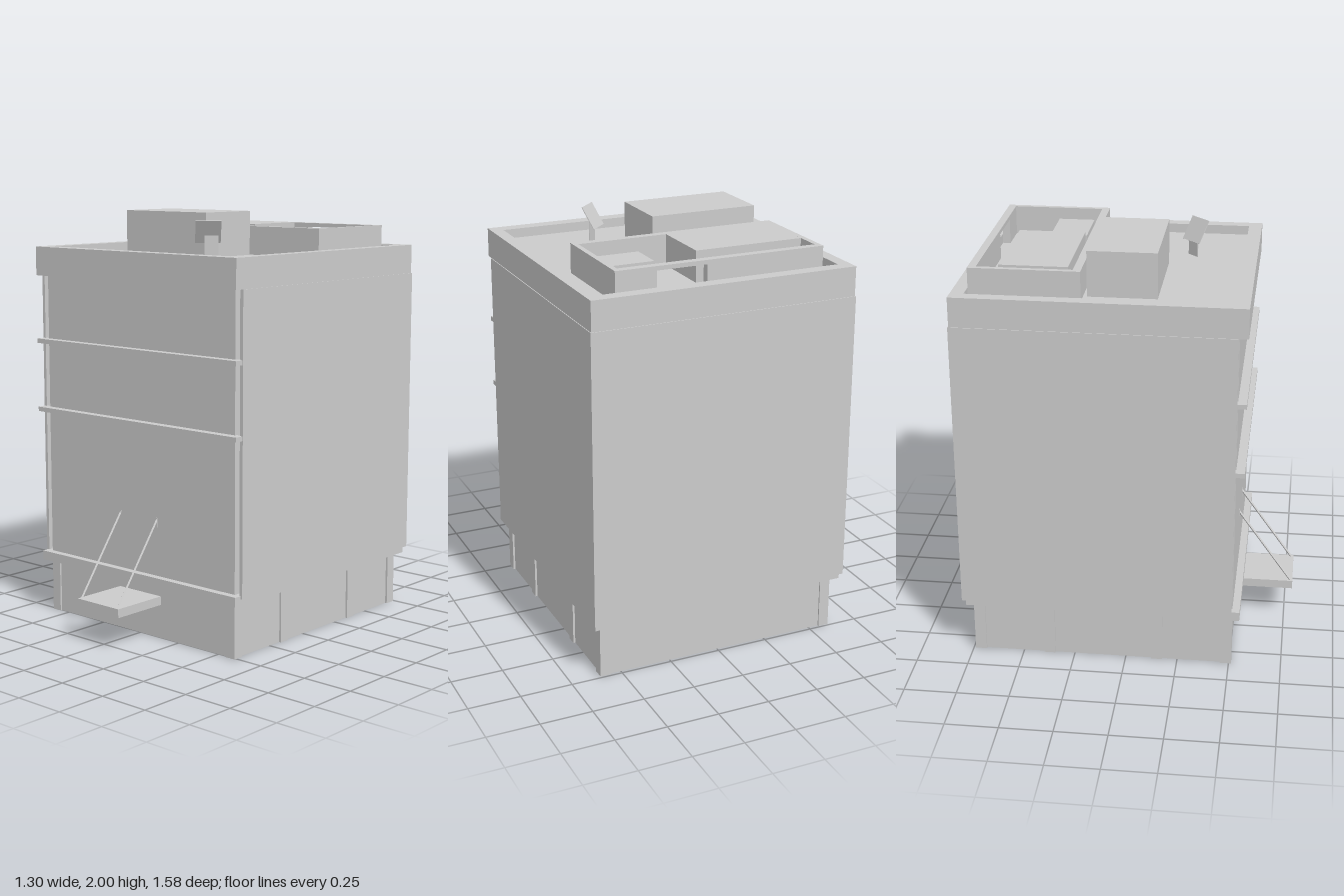
import * as THREE from 'three';

const mat = new THREE.MeshStandardMaterial({ color: 0xcccccc, flatShading: true });

export function createModel() {
  const root = new THREE.Group();

  const add = (name, geometry, parent = root) => {
    const mesh = new THREE.Mesh(geometry, mat);
    mesh.name = name;
    parent.add(mesh);
    return mesh;
  };

  // Box given by its limits on each axis
  const box = (name, x0, x1, y0, y1, z0, z1, parent) => {
    const mesh = add(name, new THREE.BoxGeometry(x1 - x0, y1 - y0, z1 - z0), parent);
    mesh.position.set((x0 + x1) / 2, (y0 + y1) / 2, (z0 + z1) / 2);
    return mesh;
  };

  // Rectangular ring: outer and inner are [x0, x1, z0, z1]
  const rect = (path, [x0, x1, z0, z1]) =>
    path.moveTo(x0, -z1).lineTo(x1, -z1).lineTo(x1, -z0).lineTo(x0, -z0).closePath();
  const ring = (name, outer, inner, y0, y1) => {
    const shape = rect(new THREE.Shape(), outer);
    shape.holes.push(rect(new THREE.Path(), inner));
    const geometry = new THREE.ExtrudeGeometry(shape, { depth: y1 - y0, bevelEnabled: false });
    geometry.rotateX(-Math.PI / 2).translate(0, y0, 0);
    return add(name, geometry);
  };

  // Open plinth with pillars along both sides
  ring('plinthWalls', [-0.595, 0.595, -0.733, 0.503], [-0.575, 0.575, -0.713, 0.483], 0, 0.27);
  for (const s of [-1, 1]) {
    for (const z of [0.485, 0.15, -0.372, -0.713]) {
      const pillar = box('plinthPillar', -0.026, 0.026, 0, 0.27, z - 0.027, z + 0.027);
      pillar.position.x = s * 0.579;
    }
  }
  ring('plinthLedge', [-0.638, 0.638, -0.77, 0.547], [-0.585, 0.585, -0.725, 0.475], 0.26, 0.305);

  // Hollow main body
  for (const s of [-1, 1]) {
    const wall = box('sideWall', -0.008, 0.008, 0.29, 1.69, -0.787, 0.51);
    wall.position.x = s * 0.64;
  }
  box('backWall', -0.648, 0.648, 0.29, 1.69, -0.788, -0.765);
  box('frontWall', -0.605, 0.605, 0.29, 1.7, 0.475, 0.512);
  box('frontRecess', -0.635, 0.635, 0.29, 1.7, 0.46, 0.48);
  for (const y of [1.017, 1.357]) box('frontBelt', -0.645, 0.645, y, y + 0.022, 0.5, 0.553);

  // Parapet and roof
  ring('parapet', [-0.644, 0.644, -0.784, 0.553], [-0.585, 0.585, -0.721, 0.488], 1.69, 1.83);
  box('roof', -0.6, 0.6, 1.76, 1.785, -0.74, 0.5);
  box('roofHouse', -0.435, 0.093, 1.78, 2, -0.19, 0.131);

  // Walled roof enclosure, with an opening in its back wall
  const wallTop = 1.925;
  for (const s of [-1, 1]) {
    const wall = box('enclosureSide', -0.0125, 0.0125, 1.78, wallTop, -0.72, -0.208);
    wall.position.x = s * 0.494;
  }
  box('enclosureFront', -0.482, 0.482, 1.78, wallTop, -0.245, -0.208);
  box('enclosureBack', -0.482, 0.07, 1.78, wallTop, -0.72, -0.683);
  box('enclosureBack', 0.31, 0.482, 1.78, wallTop, -0.72, -0.683);
  box('enclosureLintel', 0.07, 0.31, 1.905, wallTop, -0.72, -0.683);
  box('largeRoofUnit', -0.468, 0.06, 1.78, 1.932, -0.585, -0.268);
  box('smallRoofUnit', 0.205, 0.473, 1.78, 1.87, -0.46, -0.283);

  // Thin tilted panel on a flat post
  const panel = new THREE.Group();
  panel.name = 'roofPanel';
  panel.position.set(0.22, 0, 0.237);
  panel.rotation.y = Math.PI / 4;
  root.add(panel);
  box('panelPost', -0.033, 0.033, 1.78, 1.9, -0.002, 0.002, panel);
  const plate = box('panelPlate', -0.075, 0.045, 1.857, 1.977, 0, 0.004, panel);
  plate.rotation.x = 0.53;

  // Entrance canopy hung from two rods
  box('canopy', -0.135, 0.135, 0.163, 0.205, 0.5, 0.788);
  for (const s of [-1, 1]) {
    const path = new THREE.LineCurve3(
      new THREE.Vector3(s * 0.12, 0.2, 0.78), new THREE.Vector3(s * 0.12, 0.585, 0.505));
    add('canopyRod', new THREE.TubeGeometry(path, 1, 0.006, 4, false));
    box('rodBracket', s * 0.12 - 0.007, s * 0.12 + 0.007, 0.54, 0.587, 0.505, 0.514);
  }

  return root;
}
